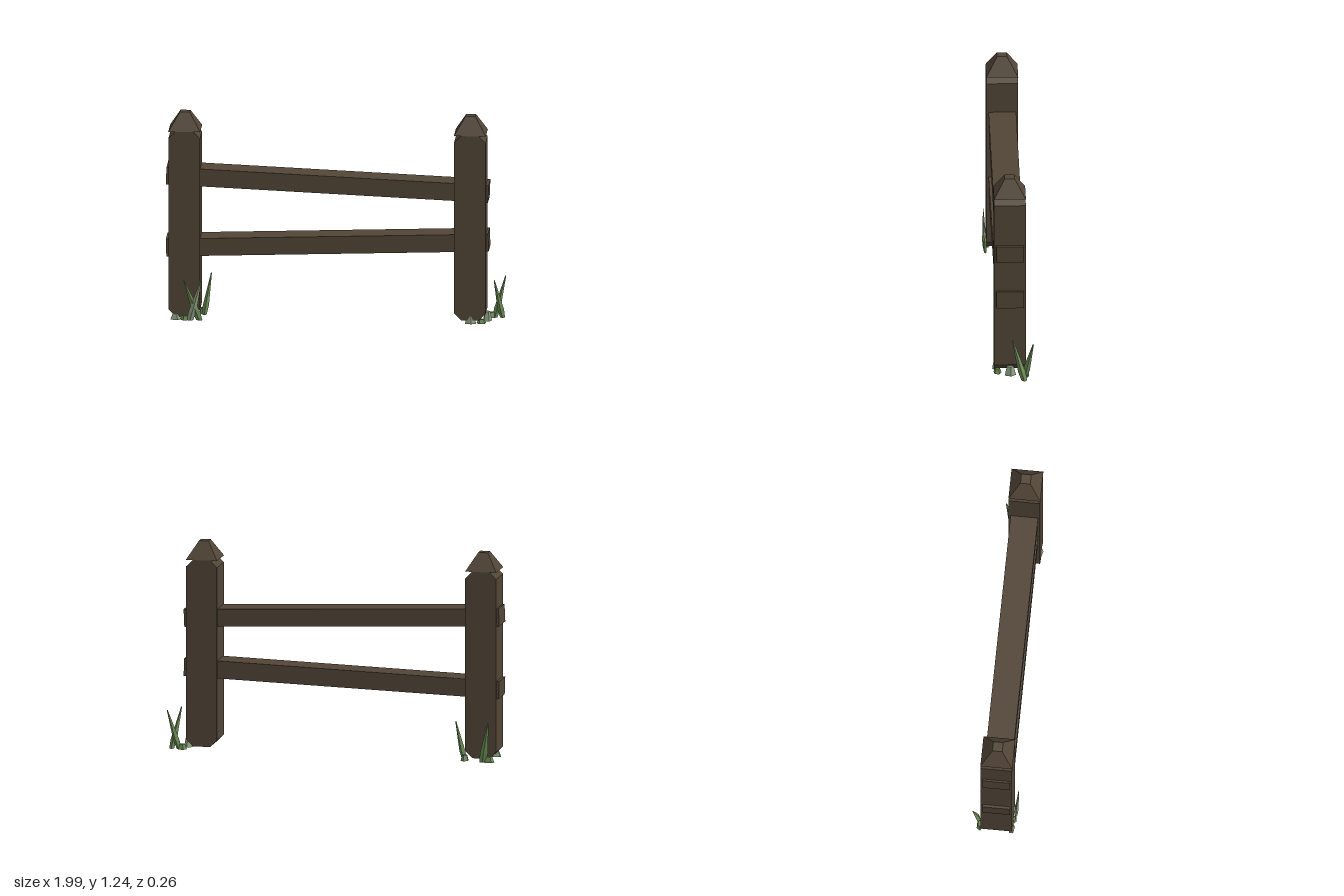
import * as THREE from 'three';

const wood = new THREE.MeshStandardMaterial({ color: 0x514536 });
wood.name = 'dark weathered wood';
const green = new THREE.MeshStandardMaterial({ color: 0x6a8a55 });
green.name = 'grass green';
const pale = new THREE.MeshStandardMaterial({ color: 0x8fa083 });
pale.name = 'pale grass';

const Z = 0.012; // depth centre of the fence

function flat(geo) {
  const g = geo.index ? geo.toNonIndexed() : geo;
  g.computeVertexNormals();
  return g;
}

function add(parent, name, geo, mat) {
  const mesh = new THREE.Mesh(flat(geo), mat);
  mesh.name = name;
  parent.add(mesh);
  return mesh;
}

// Post with corners cut on its two x sides, and a truncated pyramid cap
function makePost(name, x) {
  const post = new THREE.Group();
  post.name = name;
  const w = 0.093, c = 0.042, bottom = 0.02, top = 1.137;
  const outline = new THREE.Shape([
    [-w + c, bottom], [w - c, bottom], [w, bottom + c], [w, top - c],
    [w - c, top], [-w + c, top], [-w, top - c], [-w, bottom + c],
  ].map(([px, py]) => new THREE.Vector2(px, py)));
  const body = new THREE.ExtrudeGeometry(outline, { depth: 2 * w, bevelEnabled: false });
  add(post, 'postBody', body.translate(0, 0, -w), wood);

  const cap = new THREE.CylinderGeometry(0.029 * Math.SQRT2, 0.094 * Math.SQRT2, 0.105, 4);
  cap.rotateY(Math.PI / 4).translate(0, 1.188, 0);
  add(post, 'postCap', cap, wood);
  post.position.set(x, 0, Z);
  return post;
}

// Slanted rail whose ends pass through both posts
function makeRail(name, y, slope) {
  const geo = new THREE.BoxGeometry(1.9, 0.105, 0.162);
  const rail = new THREE.Mesh(geo, wood);
  rail.name = name;
  rail.position.set(-0.048, y, Z);
  rail.rotation.z = Math.atan(slope);
  return rail;
}

// Four-sided leaf running from base to tip, widest a little above the ground
function leafGeometry(base, tip, wx, wz) {
  const geo = new THREE.CylinderGeometry(1, 1, 1, 4, 2);
  const p = geo.attributes.position;
  for (let i = 0; i < p.count; i++) {
    const level = Math.round((p.getY(i) + 0.5) * 2); // 0 base, 1 bulge, 2 tip
    const t = [0, 0.22, 1][level], r = [0.75, 1, 0.16][level];
    p.setXYZ(i,
      base[0] + (tip[0] - base[0]) * t + p.getX(i) * r * wx,
      base[1] + (tip[1] - base[1]) * t,
      base[2] + (tip[2] - base[2]) * t + p.getZ(i) * r * wz);
  }
  return geo;
}

// Short, blunt tuft: a squat five-sided lump
function tuftGeometry(x, z, wx, h, wz, turn) {
  const geo = new THREE.CylinderGeometry(0.6, 1, 1, 5);
  geo.rotateY(turn).scale(wx, h, wz);
  return geo.translate(x, h / 2, z);
}

export function createModel() {
  const fence = new THREE.Group();
  fence.name = 'fence';
  fence.add(
    makePost('rightPost', -0.89), makePost('leftPost', 0.793),
    makeRail('upperRail', 0.825, -0.0433), makeRail('lowerRail', 0.46, 0.031),
  );

  // Tall blades: base, tip, half widths, material
  const grass = new THREE.Group();
  grass.name = 'grass';
  [
    [[-0.80, 0, 0.112], [-0.89, 0.24, 0.122], 0.024, 0.011, green],
    [[-0.855, 0, 0.116], [-0.79, 0.24, 0.126], 0.024, 0.011, pale],
    [[-0.78, 0, -0.03], [-0.742, 0.24, -0.09], 0.018, 0.024, green],
    [[-0.905, 0, -0.095], [-0.945, 0.24, -0.13], 0.024, 0.012, green],
    [[0.975, 0, -0.07], [0.93, 0.24, -0.003], 0.019, 0.022, green],
    [[0.93, 0, -0.07], [0.99, 0.24, -0.122], 0.019, 0.022, green],
  ].forEach(([base, tip, wx, wz, mat]) => add(grass, 'grassBlade', leafGeometry(base, tip, wx, wz), mat));

  // Short tufts around the feet of the posts
  [
    [-0.94, 0.098, 0.038, 0.035, 0.02, 0.3, pale],
    [-0.885, 0.105, 0.03, 0.025, 0.02, 0.9, green],
    [-0.79, -0.06, 0.025, 0.035, 0.03, 0.5, green],
    [-0.94, -0.09, 0.035, 0.035, 0.02, 1.2, green],
    [0.795, 0.095, 0.036, 0.045, 0.02, 0.2, pale],
    [0.86, 0.085, 0.03, 0.025, 0.025, 0.8, green],
    [0.89, 0.012, 0.028, 0.055, 0.036, 0.5, pale],
    [0.91, -0.075, 0.028, 0.03, 0.028, 1.0, green],
  ].forEach(([x, z, wx, h, wz, turn, mat]) => add(grass, 'grassTuft', tuftGeometry(x, z, wx, h, wz, turn), mat));
  fence.add(grass);
  return fence;
}
